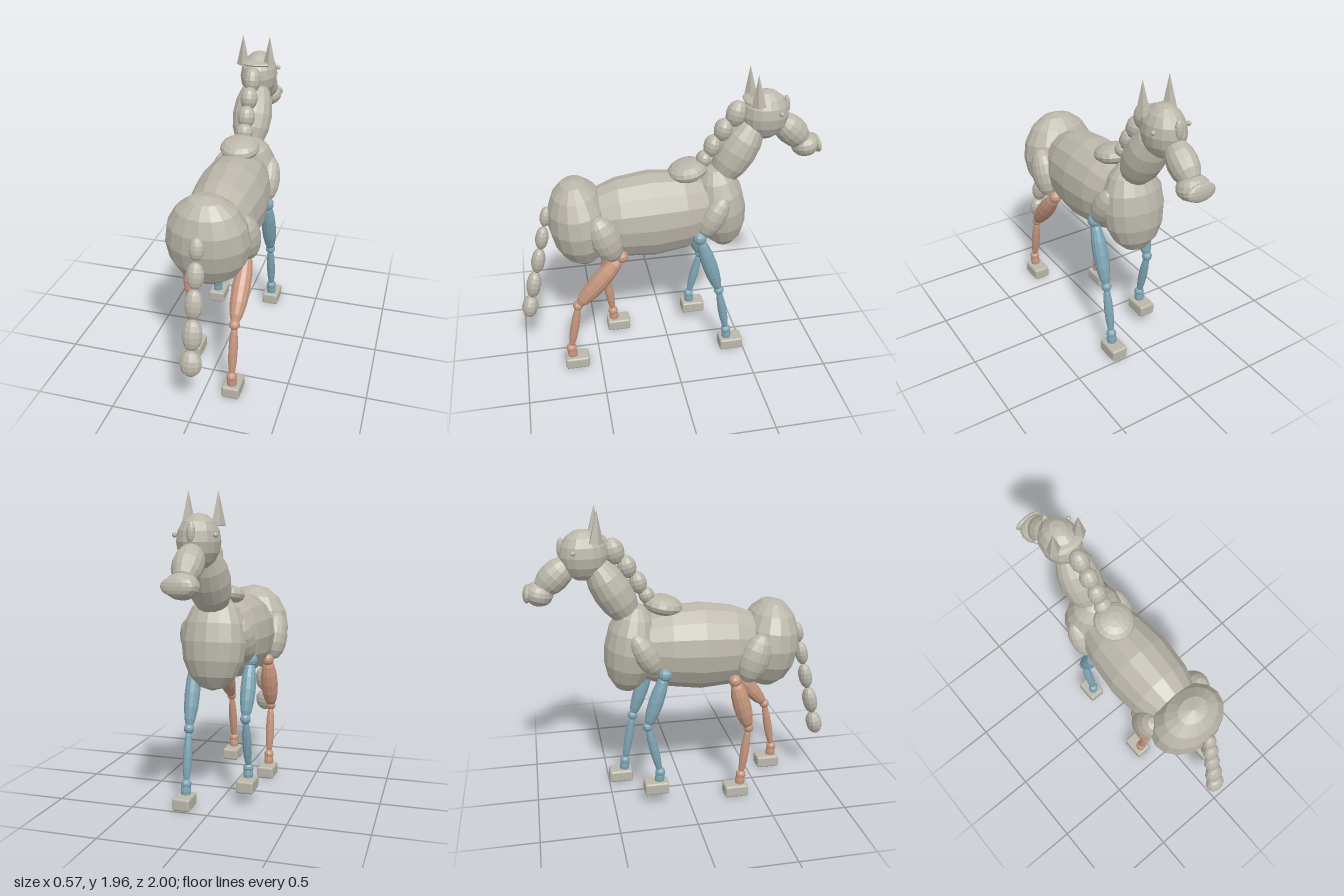
import * as THREE from 'three';
import { RoundedBoxGeometry } from 'three/addons/geometries/RoundedBoxGeometry.js';

const material = (name, color) => {
  const m = new THREE.MeshStandardMaterial({ color, flatShading: true });
  m.name = name;
  return m;
};

export function createModel() {
  const horse = new THREE.Group();
  horse.name = 'horse';
  const grey = material('warm grey', 0xbab6aa);
  const clay = material('clay', 0xc6977f);
  const blue = material('dusty blue', 0x7fa6b5);
  const ball = new THREE.SphereGeometry(1, 16, 8);
  const smallBall = new THREE.SphereGeometry(1, 12, 8);

  const add = (name, geometry, mat, pos) => {
    const mesh = new THREE.Mesh(geometry, mat);
    mesh.name = name;
    mesh.position.set(...pos);
    horse.add(mesh);
    return mesh;
  };
  // Ellipsoid whose pole leans towards +z by tilt
  const blob = (name, pos, radii, tilt = 0, mat = grey, geometry = ball) => {
    const mesh = add(name, geometry, mat, pos);
    mesh.scale.set(...radii);
    mesh.rotation.x = tilt;
    return mesh;
  };
  // Spindle-shaped limb between two points in the (y, z) plane
  const spindle = (name, x, [y0, z0], [y1, z1], r, mat) =>
    blob(name, [x, (y0 + y1) / 2, (z0 + z1) / 2],
      [r, Math.hypot(y0 - y1, z0 - z1) / 2 + 0.01, r], Math.atan2(z0 - z1, y0 - y1), mat, smallBall);

  // Trunk
  blob('rump', [0, 1.035, 0.575], [0.26, 0.3, 0.2], 0.1);
  blob('barrel', [0, 1.04, 0.11], [0.24, 0.55, 0.29], Math.PI / 2 + 0.04);
  blob('chest', [0, 1.06, -0.345], [0.205, 0.3, 0.17], 0.15);
  blob('withers', [0, 1.33, -0.13], [0.13, 0.065, 0.13], 0.2);
  for (const s of [-1, 1]) {
    blob('thigh', [s * 0.2, 0.995, 0.43], [0.085, 0.17, 0.1], 0.35);
    blob('shoulder', [s * 0.165, 1.06, -0.27], [0.077, 0.155, 0.08], -0.5);
  }

  // Neck and head
  blob('neck', [0, 1.44, -0.45], [0.135, 0.25, 0.125], -0.52);
  blob('head', [0, 1.675, -0.62], [0.125, 0.16, 0.15]);
  blob('muzzle', [0, 1.55, -0.8], [0.09, 0.145, 0.095], 0.83);
  blob('nose', [0, 1.445, -0.9], [0.1, 0.075, 0.09], 0.25);
  blob('lip', [0, 1.45, -0.972], [0.097, 0.055, 0.026], 0.1);
  blob('forelock', [0, 1.73, -0.757], [0.025, 0.06, 0.02], 0.1);
  blob('headband', [0, 1.775, -0.545], [0.115, 0.018, 0.07]);
  for (const s of [-1, 1]) {
    blob('eye', [s * 0.12, 1.713, -0.687], [0.015, 0.015, 0.015], 0, grey, smallBall);
    const ear = add('ear', new THREE.ConeGeometry(0.046, 0.2, 5), grey, [s * 0.09, 1.862, -0.542]);
    ear.rotation.x = 0.06;
  }

  // Mane: y, z, half width, half height, half depth
  for (const [y, z, rx, ry, rz] of [
    [1.69, -0.435, 0.06, 0.085, 0.068],
    [1.59, -0.355, 0.06, 0.075, 0.06],
    [1.485, -0.287, 0.06, 0.075, 0.055],
    [1.4, -0.235, 0.06, 0.055, 0.05],
  ]) blob('mane', [0, y, z], [rx, ry, rz], -0.25, grey, smallBall);

  // Tail: y, z, half width, half height, half depth
  for (const [y, z, rx, ry, rz] of [
    [1.085, 0.785, 0.047, 0.07, 0.037],
    [0.93, 0.82, 0.055, 0.083, 0.043],
    [0.76, 0.858, 0.057, 0.092, 0.046],
    [0.575, 0.903, 0.064, 0.098, 0.05],
    [0.4, 0.943, 0.069, 0.082, 0.054],
  ]) blob('tail', [0, y, z], [rx, ry, rz], -0.2, grey, smallBall);

  // Legs: top joint, knee and fetlock as (y, z), then hoof base
  const hoof = new RoundedBoxGeometry(0.112, 0.082, 0.16, 2, 0.014);
  const leg = (name, x, mat, top, knee, fetlock, [hoofY, hoofZ], upperR, topR) => {
    const joint = ([y, z], r) => blob(name + 'Joint', [x, y, z], [r, r, r], 0, mat, smallBall);
    joint(top, topR);
    joint(knee, 0.034);
    joint(fetlock, 0.034);
    spindle(name + 'Upper', x, top, knee, upperR, mat);
    spindle(name + 'Lower', x, knee, fetlock, 0.03, mat);
    spindle(name + 'Pastern', x, [fetlock[0] + 0.01, fetlock[1]],
      [hoofY + 0.05, fetlock[1] * 0.75 + hoofZ * 0.25], 0.033, mat);
    add(name + 'Hoof', hoof, grey, [x, hoofY + 0.041, hoofZ]);
  };
  leg('leftHindLeg', 0.178, clay, [0.84, 0.33], [0.492, 0.63], [0.145, 0.695], [0, 0.66], 0.06, 0.042);
  leg('rightHindLeg', -0.178, clay, [0.84, 0.31], [0.495, 0.41], [0.145, 0.367], [0, 0.33], 0.06, 0.042);
  leg('leftForeleg', 0.178, blue, [0.92, -0.18], [0.49, -0.32], [0.145, -0.382], [0, -0.415], 0.05, 0.046);
  leg('rightForeleg', -0.178, blue, [0.92, -0.15], [0.567, -0.268], [0.225, -0.19], [0.083, -0.218], 0.05, 0.046);

  return horse;
}
